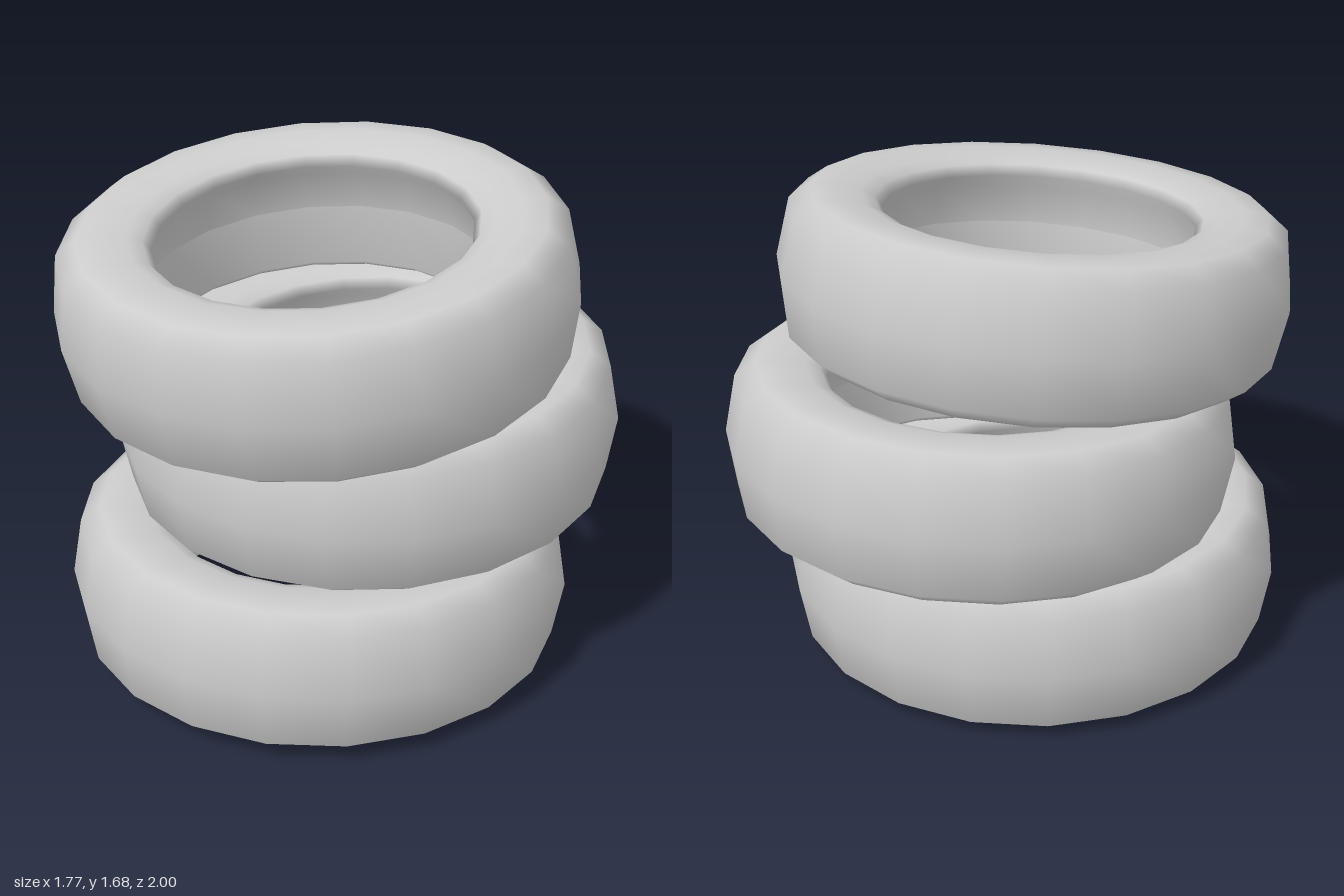
import * as THREE from 'three';

// Closed cross-section of one tyre (radius, height): narrow upper lip, undercut inner wall, wider lower lip
const PROFILE = [
  [0.615, 0], [0.61, -0.225], [0.64, -0.25],
  [0.70, -0.262], [0.78, -0.258], [0.85, -0.205],
  [0.885, 0],
  [0.85, 0.205], [0.78, 0.258], [0.70, 0.262],
  [0.61, 0.25], [0.56, 0.23], [0.535, 0.195],
  [0.595, 0.14], [0.615, 0],
].map(([r, y]) => new THREE.Vector2(r, y));

export function createModel() {
  const model = new THREE.Group();
  model.name = 'tyreStack';

  const rubber = new THREE.MeshStandardMaterial({ color: 0xcccccc });
  rubber.name = 'grey rubber';

  const tyre = new THREE.LatheGeometry(PROFILE, 20);

  // Loosely stacked tyres: height, depth offset, pitch, yaw and roll of each
  const stack = [
    { name: 'bottomTyre', y: 0.28, z: 0.115, pitch: -0.016, yaw: 0, roll: 0.006 },
    { name: 'middleTyre', y: 0.825, z: -0.115, pitch: 0.047, yaw: 0.035, roll: -0.008 },
    { name: 'topTyre', y: 1.35, z: 0.12, pitch: 0.102, yaw: -0.052, roll: -0.012 },
  ];
  for (const { name, y, z, pitch, yaw, roll } of stack) {
    const mesh = new THREE.Mesh(tyre, rubber);
    mesh.name = name;
    mesh.position.set(0, y, z);
    mesh.rotation.set(pitch, yaw, roll);
    model.add(mesh);
  }
  return model;
}
